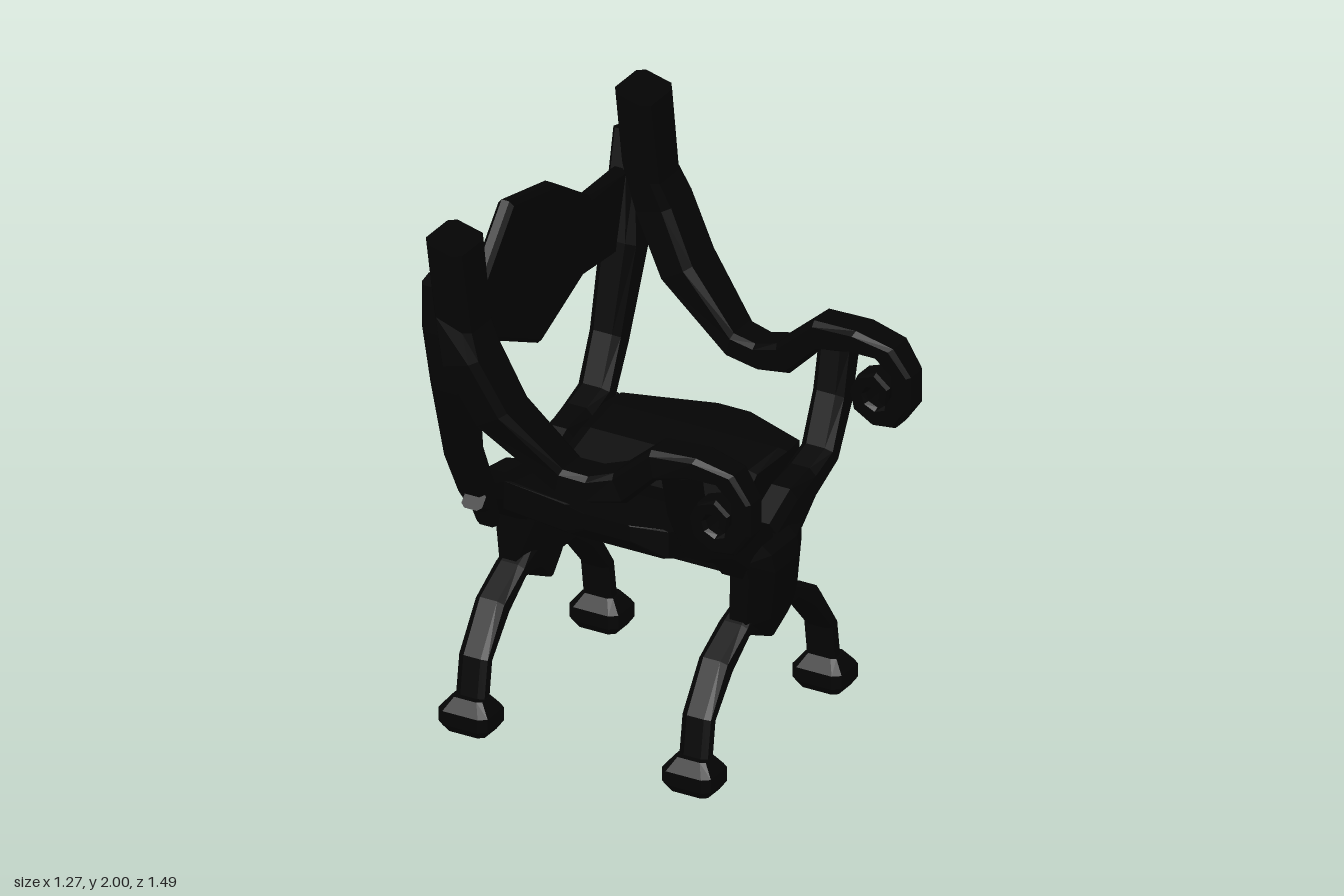
import * as THREE from 'three';

const material = new THREE.MeshStandardMaterial({ color: 0x040404, flatShading: true });
const CZ = -0.04; // centre line of the crossed frames

function add(group, name, geometry) {
  const mesh = new THREE.Mesh(geometry, material);
  mesh.name = name;
  group.add(mesh);
}

// Sweeps a chamfered bar. Each row: [edgeA u, edgeA v, edgeB u, edgeB v, depth low, depth high].
function bar(rows, toXYZ, chamfer = 0.2) {
  const c = chamfer;
  const ring = [[c, 0], [1 - c, 0], [1, c], [1, 1 - c], [1 - c, 1], [c, 1], [0, 1 - c], [0, c]];
  const pos = [], index = [], n = ring.length;
  for (const [au, av, bu, bv, lo, hi] of rows) {
    for (const [s, t] of ring) pos.push(...toXYZ(au + (bu - au) * s, av + (bv - av) * s, lo + (hi - lo) * t));
  }
  const last = (rows.length - 1) * n;
  for (let i = 0; i < rows.length - 1; i++) {
    for (let j = 0; j < n; j++) {
      const a = i * n + j, b = i * n + (j + 1) % n;
      index.push(a, b, a + n, b, b + n, a + n);
    }
  }
  for (let j = 1; j < n - 1; j++) index.push(0, j + 1, j, last, last + j, last + j + 1);
  // Turn the faces outward if the signed volume is negative
  let volume = 0;
  const p = (k) => new THREE.Vector3().fromArray(pos, index[k] * 3);
  for (let k = 0; k < index.length; k += 3) volume += p(k).dot(p(k + 1).cross(p(k + 2)));
  if (volume < 0) index.reverse();
  const g = new THREE.BufferGeometry();
  g.setAttribute('position', new THREE.Float32BufferAttribute(pos, 3));
  g.setIndex(index);
  g.computeVertexNormals();
  return g;
}

const sideOn = (u, v, w) => [u, v, w];      // bar drawn in x, y
const endOn = (u, v, w) => [w, v, u];       // bar drawn in z, y
const mirrored = (side) => (u, v, w) => [w, v, CZ + side * u];

// Polygon in z, y given thickness along x, with bevelled rims
function plate(points, x0, x1, bevel) {
  const shape = new THREE.Shape(points.map(([z, y]) => new THREE.Vector2(z, y)));
  const g = new THREE.ExtrudeGeometry(shape, {
    depth: x1 - x0 - 2 * bevel, bevelEnabled: true, bevelThickness: bevel,
    bevelSize: bevel, bevelOffset: -bevel, bevelSegments: 1,
  });
  g.rotateY(-Math.PI / 2);
  return g.translate(x1 - bevel, 0, 0);
}

// One crossed frame: legs, feet, hub and upper limbs
function crossedFrame(name, x, outward, limbTop) {
  const frame = new THREE.Group();
  frame.name = name;
  const lo = x - 0.06, hi = x + 0.06;
  const limb = [
    [0, 0.81, 0.05, 0.62], [0.14, 0.88, 0.19, 0.69], [0.27, 0.9, 0.27, 0.78], [0.37, 0.93, 0.43, 0.86],
    [0.44, 1.1, 0.53, 1.04], ...limbTop,
  ].map((r) => [...r.slice(0, 4), r[4] ?? lo, r[5] ?? hi]);
  const leg = [
    [0.05, 0.57, 0.05, 0.44], [0.18, 0.51, 0.16, 0.455], [0.32, 0.435, 0.265, 0.37], [0.43, 0.265, 0.38, 0.245], [0.455, 0.1, 0.4, 0.1],
  ].map((r) => [...r, x - 0.055, x + 0.055]);
  const foot = [
    [0.38, 0, 0.49, 0, 0.075], [0.36, 0.03, 0.51, 0.03, 0.095],
    [0.36, 0.08, 0.51, 0.08, 0.095], [0.395, 0.125, 0.475, 0.125, 0.06],
  ].map(([a, b, c, d, h]) => [a, b, c, d, x - h, x + h]);
  for (const side of [1, -1]) {
    add(frame, 'upperLimb', bar(limb, mirrored(side)));
    add(frame, 'leg', bar(leg, mirrored(side)));
    add(frame, 'foot', bar(foot, mirrored(side), 0.14));
  }
  // Hub bulging outward, tapering to a point below: [y, half width, outward reach]
  const hub = [[0.395, 0.02, 0.05], [0.46, 0.15, 0.07], [0.5, 0.17, 0.085], [0.68, 0.175, 0.105], [0.745, 0.19, 0.095], [0.775, 0.2, 0.06]]
    .map(([y, w, reach]) => [CZ - w, y, CZ + w, y, x - outward * 0.06, x + outward * reach]);
  add(frame, 'hub', bar(hub, endOn, 0.28));
  return frame;
}

export function createModel() {
  const chair = new THREE.Group();
  chair.name = 'armchair';

  chair.add(crossedFrame('frontFrame', 0.335, 1, [[0.47, 1.25, 0.585, 1.24]]));
  const backFrame = crossedFrame('backFrame', -0.53, -1, [
    [0.5, 1.42, 0.63, 1.36, -0.59, -0.45], [0.56, 1.65, 0.685, 1.6, -0.59, -0.49], [0.6, 1.79, 0.675, 1.77, -0.59, -0.52],
  ]);
  chair.add(backFrame);

  // Small pegs hanging under the bends of the rear limbs
  const peg = [[0.34, 0.78, 0.37, 0.74], [0.36, 0.87, 0.42, 0.82], [0.43, 0.9, 0.475, 0.85]].map((r) => [...r, -0.55, -0.47]);
  for (const side of [1, -1]) add(backFrame, 'peg', bar(peg, mirrored(side)));

  // Scrolled arms: lower edge and upper edge in x, y, with each side's own z range
  const arm = [
    [-0.52, 2.0, -0.38, 1.965], [-0.5, 1.72, -0.355, 1.67], [-0.46, 1.54, -0.32, 1.58], [-0.35, 1.32, -0.23, 1.39],
    [-0.09, 1.09, -0.07, 1.18], [0.03, 1.075, 0.02, 1.17], [0.16, 1.1, 0.11, 1.2], [0.28, 1.22, 0.26, 1.33],
    [0.4, 1.255, 0.43, 1.34], [0.5, 1.255, 0.57, 1.305], [0.56, 1.2, 0.635, 1.21], [0.56, 1.12, 0.635, 1.09],
    [0.535, 1.08, 0.575, 1.005], [0.505, 1.065, 0.49, 0.995], [0.47, 1.08, 0.415, 1.04], [0.46, 1.11, 0.4, 1.11],
    [0.475, 1.135, 0.43, 1.17], [0.495, 1.135, 0.5, 1.195], [0.515, 1.12, 0.555, 1.15], [0.51, 1.1, 0.545, 1.085],
  ];
  const leftZ = [[0.54, 0.745], [0.535, 0.72], [0.53, 0.74], [0.51, 0.7], [0.45, 0.6], [0.43, 0.585], [0.42, 0.57], [0.43, 0.575], [0.43, 0.57], [0.44, 0.555], [0.45, 0.55]];
  const rightZ = [[-0.715, -0.515], [-0.715, -0.53], [-0.745, -0.545], [-0.735, -0.53], [-0.69, -0.54], [-0.67, -0.53], [-0.65, -0.52], [-0.65, -0.51], [-0.64, -0.495], [-0.63, -0.505], [-0.62, -0.515]];
  for (const [name, zs] of [['leftArm', leftZ], ['rightArm', rightZ]]) {
    add(chair, name, bar(arm.map((r, i) => [...r, ...zs[Math.min(i, zs.length - 1)]]), sideOn, 0.15));
  }

  // Sagging seat, swept from the right edge to the left
  const seat = [
    [-0.53, 0.92, -0.53, 0.88, -0.12, 0.02], [-0.45, 0.915, -0.45, 0.82, -0.44, 0.25], [-0.37, 0.91, -0.37, 0.8, -0.46, 0.25],
    [-0.22, 0.885, -0.2, 0.72, -0.46, 0.22], [-0.06, 0.825, -0.04, 0.65, -0.47, 0.25], [0.1, 0.875, 0.1, 0.71, -0.46, 0.24],
    [0.3, 0.915, 0.3, 0.8, -0.46, 0.25], [0.37, 0.93, 0.37, 0.82, -0.18, 0.22], [0.42, 0.94, 0.42, 0.88, -0.08, 0.1],
  ];
  add(chair, 'seat', bar(seat, endOn, 0.05));

  // Beam joining the two hubs under the seat
  const beam = [[0.07, 0.65, 0.07, 0.76, -0.48, 0.29], [-0.15, 0.65, -0.15, 0.76, -0.48, 0.29]];
  add(chair, 'crossBeam', bar(beam, endOn, 0.03));

  // Back panel slung between the rear posts
  add(chair, 'backPanel', plate([
    [0.56, 1.655], [0.33, 1.675], [0.15, 1.88], [-0.14, 1.82], [-0.38, 1.665], [-0.62, 1.665],
    [-0.56, 1.37], [-0.32, 1.385], [-0.04, 1.26], [0.25, 1.4], [0.5, 1.45],
  ], -0.57, -0.51, 0.015));

  return chair;
}
